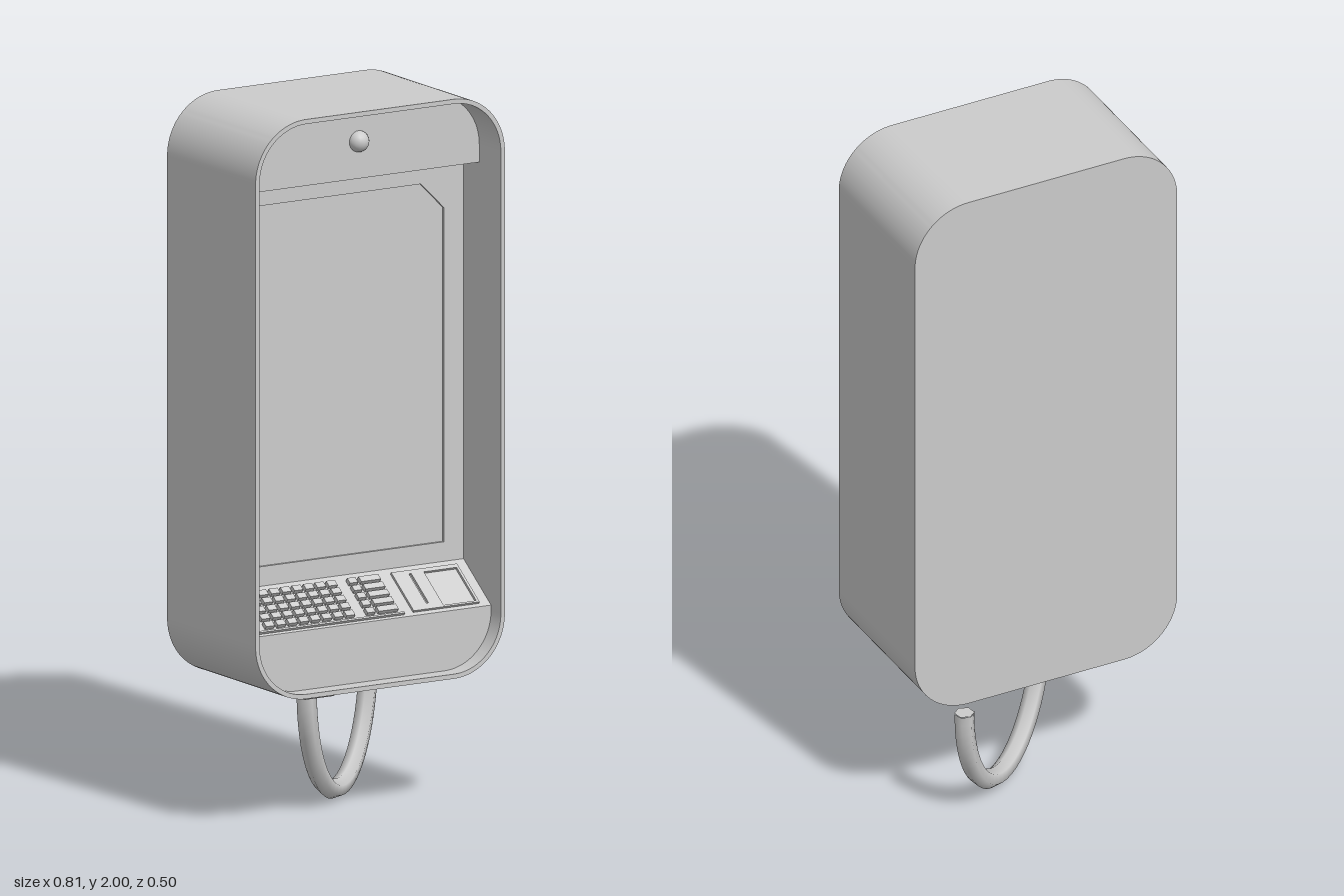
import * as THREE from 'three';
import { toCreasedNormals } from 'three/addons/utils/BufferGeometryUtils.js';

const material = new THREE.MeshStandardMaterial({ color: 0xcccccc });
const W = 0.407, BOTTOM = 0.37, TOP = 2, R = 0.165, WALL = 0.013;
const BACK = -0.2, FRONT = 0.25, SCREEN_Z = 0.06, CANOPY_Z = 0.14, DECK_Z = 0.2;
const DECK_LOW = 0.55, DECK_HIGH = 0.655, CANOPY_Y = 1.785;

function add(parent, name, geometry, x = 0, y = 0, z = 0) {
  const mesh = new THREE.Mesh(geometry, material);
  mesh.name = name;
  mesh.position.set(x, y, z);
  parent.add(mesh);
  return mesh;
}

// Rectangle with separate radii for its bottom and top corners
function roundRect(x0, y0, x1, y1, rBottom = 0, rTop = 0, Type = THREE.Shape) {
  const s = new Type();
  s.moveTo(x0 + rBottom, y0);
  s.lineTo(x1 - rBottom, y0);
  if (rBottom) s.absarc(x1 - rBottom, y0 + rBottom, rBottom, -Math.PI / 2, 0);
  s.lineTo(x1, y1 - rTop);
  if (rTop) s.absarc(x1 - rTop, y1 - rTop, rTop, 0, Math.PI / 2);
  s.lineTo(x0 + rTop, y1);
  if (rTop) s.absarc(x0 + rTop, y1 - rTop, rTop, Math.PI / 2, Math.PI);
  s.lineTo(x0, y0 + rBottom);
  if (rBottom) s.absarc(x0 + rBottom, y0 + rBottom, rBottom, Math.PI, Math.PI * 1.5);
  return s;
}

function extrude(shape, z0, z1) {
  const g = new THREE.ExtrudeGeometry(shape, { depth: z1 - z0, bevelEnabled: false, curveSegments: 12 });
  g.translate(0, 0, z0);
  return toCreasedNormals(g, 0.6);
}

const polygon = (points, Type = THREE.Shape) => new Type(points.map(([x, y]) => new THREE.Vector2(x, y)));

// Side profile given as [z, y] points, swept across the inner width
function crossPrism(points) {
  const w = W - WALL;
  return extrude(polygon(points), -w, w).rotateY(-Math.PI / 2);
}

function buildCasing(group) {
  const outer = () => roundRect(-W, BOTTOM, W, TOP, R, R);
  const x = W - WALL, y0 = BOTTOM + WALL, y1 = TOP - WALL, r = R - WALL;

  add(group, 'backPlate', extrude(outer(), BACK, BACK + 0.006));
  const shell = outer();
  shell.holes.push(roundRect(-x, y0, x, y1, r, r, THREE.Path));
  add(group, 'shell', extrude(shell, BACK + 0.006, FRONT));

  // Screen floor behind a bezel with one cut corner
  add(group, 'screen', extrude(roundRect(-x, y0, x, y1, r, r), BACK + 0.006, SCREEN_Z - 0.008));
  const bezel = roundRect(-x, DECK_LOW, x, CANOPY_Y + 0.02);
  bezel.holes.push(polygon([[-0.33, 0.71], [0.33, 0.71], [0.33, 1.65], [0.255, 1.725], [-0.33, 1.725]], THREE.Path));
  add(group, 'screenBezel', extrude(bezel, SCREEN_Z - 0.008, SCREEN_Z));

  // Upper panel with a sloping underside, and lower panel
  add(group, 'upperPanel', extrude(roundRect(-x, CANOPY_Y, x, y1, 0, r), SCREEN_Z - 0.008, CANOPY_Z));
  add(group, 'upperPanelUnderside', crossPrism([[SCREEN_Z, CANOPY_Y - 0.01], [CANOPY_Z, CANOPY_Y], [SCREEN_Z, CANOPY_Y]]));
  add(group, 'lowerPanel', extrude(roundRect(-x, y0, x, DECK_LOW, r, 0), SCREEN_Z - 0.008, DECK_Z));
  add(group, 'cameraLens', new THREE.SphereGeometry(0.03, 16, 12), 0, 1.89, CANOPY_Z);
}

function buildKeyboard(group) {
  add(group, 'keyboardDeck', crossPrism([[SCREEN_Z, DECK_LOW], [DECK_Z, DECK_LOW], [SCREEN_Z, DECK_HIGH]]));

  // Local frame on the slope: y runs up the deck, z points out of it
  const deck = new THREE.Group();
  deck.name = 'keyboard';
  deck.position.set(0, (DECK_LOW + DECK_HIGH) / 2, (SCREEN_Z + DECK_Z) / 2);
  deck.rotation.x = -Math.atan2(DECK_Z - SCREEN_Z, DECK_HIGH - DECK_LOW);
  group.add(deck);

  const key = (name, x, y, w) => add(deck, name, new THREE.BoxGeometry(w, 0.019, 0.018), x, y, 0.003);
  for (let row = 0; row < 5; row++) {
    const y = -0.056 + row * 0.028;
    for (let col = 0; col < 8; col++) key('key', -0.319 + col * 0.0375, y, 0.028);
    key('functionKey', 0.011, y, 0.026);
    key('wideKey', 0.067, y, 0.064);
  }

  // Thin edging around the keys
  add(deck, 'keyTrayEdge', new THREE.BoxGeometry(0.006, 0.15, 0.012), -0.363, 0, 0.002);
  add(deck, 'keyTrayEdge', new THREE.BoxGeometry(0.48, 0.006, 0.012), -0.126, -0.077, 0.002);

  // Reader plate with a slot and a square tray
  const plate = roundRect(0.145, -0.076, 0.36, 0.068);
  plate.holes.push(roundRect(0.196, -0.055, 0.204, 0.055, 0, 0, THREE.Path));
  plate.holes.push(roundRect(0.245, -0.07, 0.352, 0.055, 0, 0, THREE.Path));
  add(deck, 'readerPlate', extrude(plate, -0.002, 0.007));
}

function buildCable(group) {
  // Tapered socket under the casing
  const socket = new THREE.BoxGeometry(0.12, 0.027, 0.32);
  const p = socket.attributes.position;
  for (let i = 0; i < p.count; i++) {
    if (p.getY(i) < 0) p.setXYZ(i, p.getX(i) * 0.78, p.getY(i), p.getZ(i) * 0.8);
  }
  socket.computeVertexNormals();
  add(group, 'cableSocket', socket, -0.14, BOTTOM - 0.0125, 0.03);

  // Half-ellipse loop running diagonally under the casing
  const radius = 0.028, centre = new THREE.Vector3(0.063, 0.362, -0.065);
  const points = [];
  for (let i = 0; i <= 16; i++) {
    const a = (i / 16) * Math.PI, c = Math.cos(a);
    points.push(new THREE.Vector3(
      centre.x - 0.204 * c,
      centre.y - (centre.y - radius) * Math.sin(a),
      centre.z + 0.16 * c));
  }
  const curve = new THREE.CatmullRomCurve3(points);
  add(group, 'cable', new THREE.TubeGeometry(curve, 32, radius, 6));
  const end = points[16];
  const cap = new THREE.CircleGeometry(radius, 6).rotateX(-Math.PI / 2).rotateY(Math.atan2(0.16, 0.204));
  add(group, 'cableEnd', cap, end.x, end.y, end.z);
}

export function createModel() {
  const model = new THREE.Group();
  model.name = 'wallTerminal';
  buildCasing(model);
  buildKeyboard(model);
  buildCable(model);
  return model;
}
